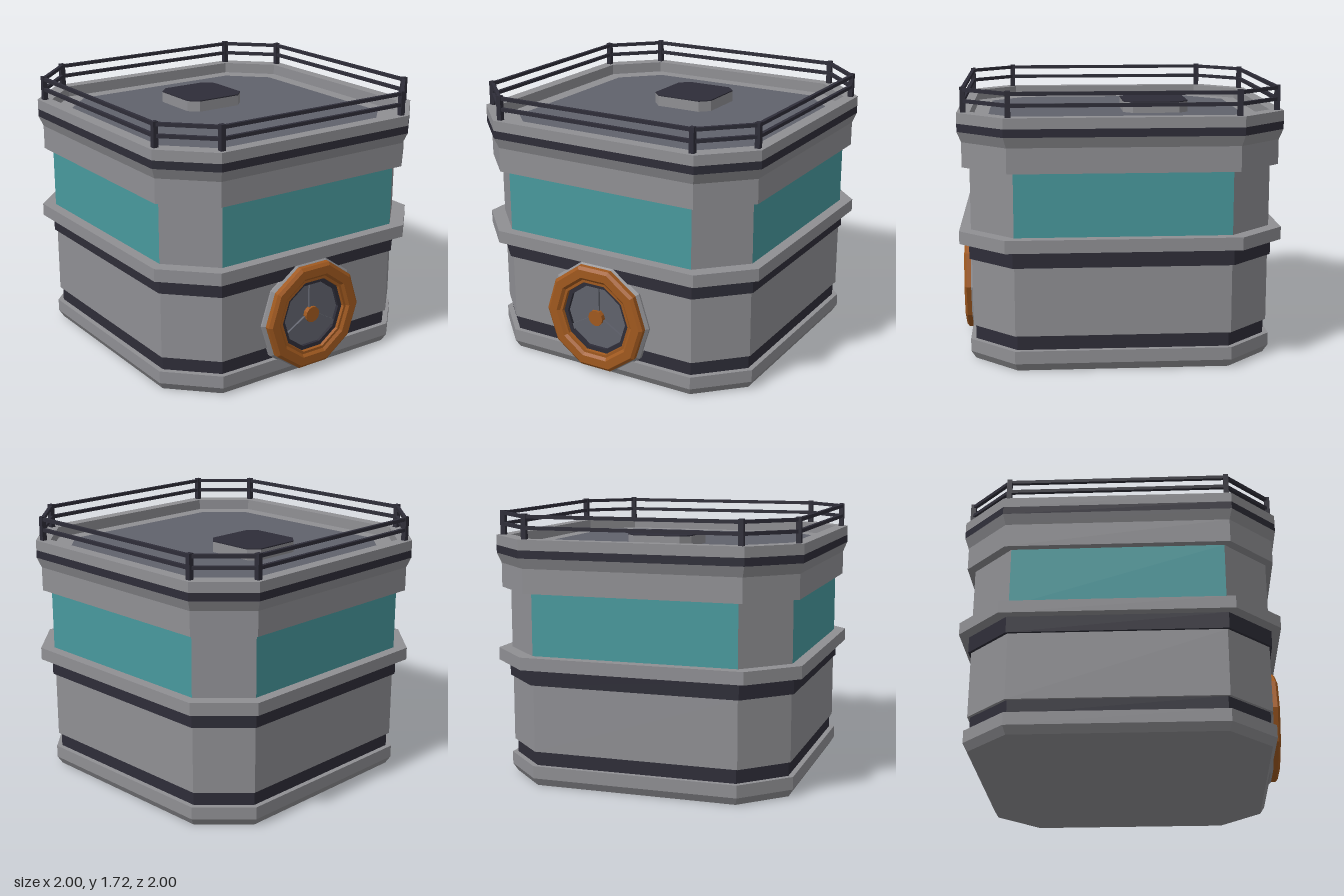
import * as THREE from 'three';

const mat = (name, color) => new THREE.MeshStandardMaterial({ name, color, flatShading: true });

// Corners of a chamfered square: half width h, half length s of the straight sides
const corners = (h, s) => [[-s, h], [s, h], [h, s], [h, -s], [s, -h], [-s, -h], [-h, -s], [-h, s]];

// Stack of chamfered-square rings [h, s, y]; group 0 = straight sides, group 1 = corners and caps
function loft(rings, capBottom = true, capTop = true) {
  const parts = [[], []];
  const pts = rings.map(([h, s, y]) => corners(h, s).map(([x, z]) => [x, y, z]));
  for (let r = 0; r < pts.length - 1; r++) {
    for (let i = 0; i < 8; i++) {
      const j = (i + 1) % 8, lo = pts[r], up = pts[r + 1];
      parts[i % 2].push(...lo[i], ...lo[j], ...up[j], ...lo[i], ...up[j], ...up[i]);
    }
  }
  const first = pts[0], last = pts[pts.length - 1];
  for (let i = 1; i < 7; i++) {
    if (capBottom) parts[1].push(...first[0], ...first[i + 1], ...first[i]);
    if (capTop) parts[1].push(...last[0], ...last[i], ...last[i + 1]);
  }
  const geo = new THREE.BufferGeometry();
  geo.setAttribute('position', new THREE.Float32BufferAttribute(parts.flat(), 3));
  geo.addGroup(0, parts[0].length / 3, 0);
  geo.addGroup(parts[0].length / 3, parts[1].length / 3, 1);
  geo.computeVertexNormals();
  return geo;
}

export function createModel() {
  const grey = mat('wallGrey', 0x8f8f93);
  const dark = mat('darkTrim', 0x2e2d38);
  const slate = mat('slate', 0x60626c);
  const teal = mat('glassTeal', 0x48999d);
  const orange = mat('doorOrange', 0xa0591f);

  const model = new THREE.Group();
  const add = (name, geo, material, parent = model) => {
    const mesh = new THREE.Mesh(geo, material);
    mesh.name = name;
    parent.add(mesh);
    return mesh;
  };
  const layer = (name, rings, main, corner = main, bottom = true, top = true) =>
    add(name, loft(rings, bottom, top), [main, corner]);

  // Storeys, from the ground up
  layer('base', [[0.915, 0.65, 0], [0.945, 0.665, 0.05], [0.945, 0.665, 0.13]], grey);
  layer('lowerBand', [[0.912, 0.65, 0.13], [0.912, 0.65, 0.22]], dark);
  layer('lowerWall', [[0.927, 0.662, 0.22], [0.927, 0.662, 0.65]], grey);
  layer('middleBand', [[0.943, 0.672, 0.65], [0.943, 0.672, 0.755]], dark);
  layer('ledge', [[1, 0.715, 0.755], [1, 0.715, 0.835]], grey);
  layer('windows', [[0.93, 0.662, 0.835], [0.93, 0.662, 1.23]], teal, grey);
  layer('upperWall', [[0.975, 0.698, 1.23], [0.975, 0.698, 1.385], [1, 0.714, 1.45]], grey, grey, true, false);
  layer('upperBand', [[1, 0.714, 1.45], [1, 0.714, 1.5]], dark, dark, false, false);
  layer('parapet', [[1, 0.714, 1.5], [1, 0.714, 1.565], [0.92, 0.662, 1.565],
    [0.92, 0.662, 1.495], [0.825, 0.595, 1.495]], grey, grey, false, false);
  layer('roofDeck', [[0.825, 0.595, 1.48], [0.825, 0.595, 1.495]], slate);

  // Roof hatch with a dark lid
  const hatch = layer('hatch', [[0.213, 0.153, 1.49], [0.213, 0.153, 1.563]], grey);
  const lid = layer('hatchLid', [[0.213, 0.153, 1.563], [0.213, 0.153, 1.57]], dark);
  hatch.position.z = lid.position.z = -0.265;

  // Railing: a post at each corner, two rails between neighbours
  const railing = new THREE.Group();
  railing.name = 'railing';
  model.add(railing);
  const posts = corners(0.961, 0.685);
  posts.forEach(([x, z], i) => {
    add('post', new THREE.BoxGeometry(0.032, 0.155, 0.032), dark, railing).position.set(x, 1.6425, z);
    const [x2, z2] = posts[(i + 1) % 8];
    for (const y of [1.634, 1.703]) {
      const rail = add('rail', new THREE.BoxGeometry(Math.hypot(x2 - x, z2 - z), 0.022, 0.022), dark, railing);
      rail.position.set((x + x2) / 2, y, (z + z2) / 2);
      rail.rotation.y = -Math.atan2(z2 - z, x2 - x);
    }
  });

  // Round ten-sided door on the front; profiles are [radius, z]
  const door = new THREE.Group();
  door.name = 'door';
  door.position.y = 0.38;
  model.add(door);
  const turned = (name, profile, material, sides = 10) => {
    const geo = new THREE.LatheGeometry(profile.map(([r, z]) => new THREE.Vector2(r, z)), sides);
    geo.rotateY(Math.PI / 2).rotateX(Math.PI / 2);
    return add(name, geo, material, door);
  };
  turned('doorFrame', [[0.373, 0.9], [0.373, 0.938], [0.355, 0.955], [0.25, 0.955]], grey);
  turned('doorRing', [[0.355, 0.95], [0.355, 0.985], [0.335, 1], [0.28, 1], [0.262, 0.985], [0.245, 0.985], [0.24, 0.945]], orange);
  turned('doorInnerRing', [[0.243, 0.94], [0.243, 0.965], [0.215, 0.965], [0.215, 0.935]], dark);
  turned('doorPanel', [[0.225, 0.93], [0.225, 0.945], [0, 0.945]], slate);
  turned('doorHub', [[0.052, 0.94], [0.052, 0.975], [0, 0.975]], orange, 12);
  for (let i = 0; i < 3; i++) {
    const geo = new THREE.BoxGeometry(0.036, 0.2, 0.015).translate(0, 0.12, 0.952);
    add('doorSpoke', geo, slate, door).rotation.z = i * Math.PI * 2 / 3;
  }
  return model;
}
